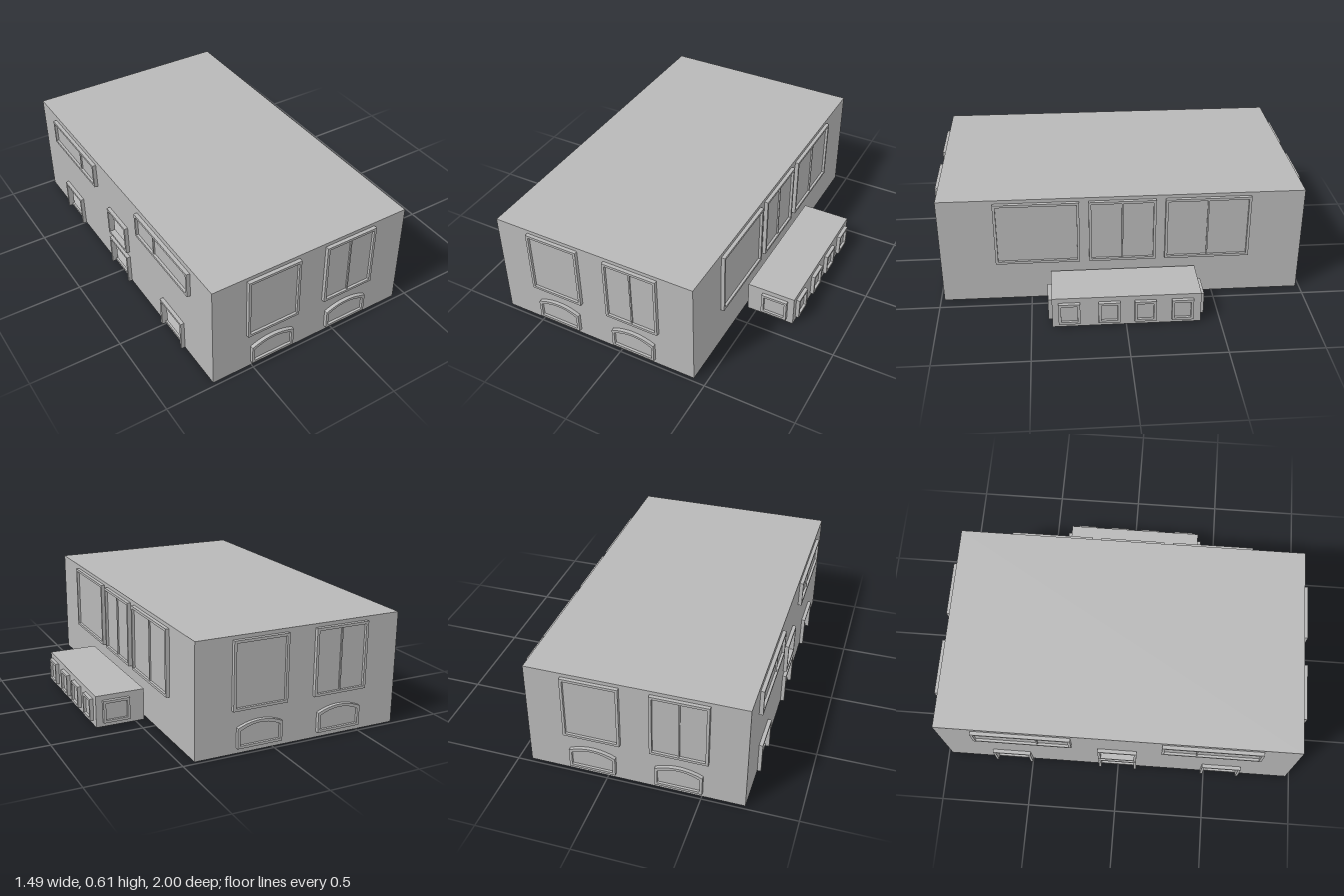
import * as THREE from 'three';

const FRAME = 0.014; // width of a frame bar
const DEPTH = 0.02;  // how far frames stand out from a wall
const WALL = 0.012;  // wall thickness

export function createModel() {
  const model = new THREE.Group();
  const grey = new THREE.MeshStandardMaterial({ color: 0xb8b8b8 });
  grey.name = 'plain grey';

  const add = (parent, geometry, name) => {
    const mesh = new THREE.Mesh(geometry, grey);
    mesh.name = name;
    parent.add(mesh);
    return mesh;
  };
  const block = (name, x0, x1, y0, y1, z0, z1) =>
    add(model, new THREE.BoxGeometry(x1 - x0, y1 - y0, z1 - z0), name)
      .position.set((x0 + x1) / 2, (y0 + y1) / 2, (z0 + z1) / 2);

  // Opening outline; spring below the top gives a shallow arched head
  const outline = (a, b, y0, y1, spring = y1, Type = THREE.Shape) => {
    const s = new Type();
    s.moveTo(a, y0);
    s.lineTo(b, y0);
    s.lineTo(b, spring);
    if (spring < y1) s.quadraticCurveTo((a + b) / 2, 2 * y1 - spring, a, spring);
    else s.lineTo(a, y1);
    s.closePath();
    return s;
  };
  const extrude = (shape, depth) =>
    new THREE.ExtrudeGeometry(shape, { depth, bevelEnabled: false, curveSegments: 10 });

  // A group whose local x runs along a wall and local z points outwards
  const side = (name, x, z, turn) => {
    const g = new THREE.Group();
    g.name = name;
    g.position.set(x, 0, z);
    g.rotation.y = turn;
    model.add(g);
    return g;
  };

  // Framed window with a pane and an optional centre bar
  const windowUnit = (wall, a, b, y0, y1, { bar = false, spring = y1, pane = true } = {}) => {
    const f = FRAME;
    const ring = outline(a, b, y0, y1, spring);
    ring.holes.push(outline(a + f, b - f, y0 + f, y1 - f, spring - f, THREE.Path));
    add(wall, extrude(ring, DEPTH), 'windowFrame');
    if (pane) add(wall, extrude(outline(a + f, b - f, y0 + f, y1 - f, spring - f), 0.006), 'windowPane');
    if (bar) {
      const m = add(wall, new THREE.BoxGeometry(0.008, y1 - y0 - 2 * f, 0.014), 'windowBar');
      m.position.set((a + b) / 2, (y0 + y1) / 2, 0.007);
    }
  };

  // Door frame without a sill
  const doorFrame = (wall, a, b, top) => {
    const f = FRAME;
    const pts = [[a, 0], [a + f, 0], [a + f, top - f], [b - f, top - f], [b - f, 0], [b, 0], [b, top], [a, top]];
    add(wall, extrude(new THREE.Shape(pts.map(p => new THREE.Vector2(...p))), DEPTH), 'doorFrame');
  };

  // Long wall with openings, each [a, b, bottom, top]
  const longWall = (wall, openings) => {
    const s = outline(-0.98, 0.98, 0.004, 0.6);
    for (const [a, b, y0, y1] of openings) {
      s.holes.push(outline(a + FRAME, b - FRAME, Math.max(y0 + FRAME, 0.008), y1 - FRAME, undefined, THREE.Path));
    }
    add(wall, extrude(s, WALL), 'longWall').position.z = -WALL;
  };

  // Hollow main hall
  block('floor', -0.725, 0.43, 0, 0.004, -0.98, 0.98);
  block('roof', -0.725, 0.43, 0.6, 0.61, -0.98, 0.98);
  for (const s of [-1, 1]) {
    const z = s * (0.98 - WALL / 2);
    block('endWall', -0.725 + WALL, 0.43 - WALL, 0.004, 0.6, z - WALL / 2, z + WALL / 2);
  }

  // End walls: two tall windows over two arched ones, turned about x = -0.15
  for (const [name, z, turn] of [['frontEnd', 0.98, 0], ['backEnd', -0.98, Math.PI]]) {
    const wall = side(name, -0.15, z, turn);
    for (const c of [-0.23, 0.23]) {
      windowUnit(wall, c - 0.152, c + 0.152, 0.23, 0.59, { bar: c > 0 });
      windowUnit(wall, c - 0.125, c + 0.125, 0.03, 0.167, { spring: 0.138 });
    }
  }

  // Left side: three big windows and two narrow doorways into the annex
  const left = side('leftSide', 0.43, 0, Math.PI / 2);
  windowUnit(left, -0.685, -0.23, 0.23, 0.59);
  windowUnit(left, -0.18, 0.18, 0.23, 0.59, { bar: true });
  windowUnit(left, 0.23, 0.69, 0.23, 0.59, { bar: true });
  const annexDoors = [[-0.245, -0.16, 0, 0.125], [0.165, 0.25, 0, 0.125]];
  longWall(left, annexDoors);
  for (const [a, b, , top] of annexDoors) doorFrame(left, a, b, top);

  // Right side: high wide windows, open doorways and an upper opening
  const right = side('rightSide', -0.725, 0, -Math.PI / 2);
  windowUnit(right, -0.785, -0.25, 0.435, 0.58, { bar: false });
  windowUnit(right, 0.24, 0.78, 0.435, 0.58, { bar: false });
  for (const u of [-0.435, 0.43]) {
    add(right, new THREE.BoxGeometry(0.008, 0.117, 0.014), 'windowBar').position.set(u, 0.5075, 0.007);
  }
  const doors = [[-0.715, -0.5, 0, 0.175], [-0.11, 0.105, 0, 0.175], [0.48, 0.7, 0, 0.175]];
  const upper = [-0.11, 0.105, 0.21, 0.38];
  longWall(right, [...doors, upper]);
  for (const [a, b, , top] of doors) doorFrame(right, a, b, top);
  windowUnit(right, ...upper, { pane: false });

  // Low annex with a row of small windows
  block('annex', 0.45, 0.72, 0, 0.175, -0.395, 0.39);
  const annexSide = side('annexSide', 0.72, 0, Math.PI / 2);
  for (const u of [-0.3, -0.09, 0.1, 0.297]) windowUnit(annexSide, u - 0.057, u + 0.057, 0.025, 0.148);
  for (const [name, z, turn] of [['annexFront', 0.39, 0], ['annexBack', -0.395, Math.PI]]) {
    windowUnit(side(name, 0.61, z, turn), -0.074, 0.074, 0.025, 0.148);
  }

  return model;
}
